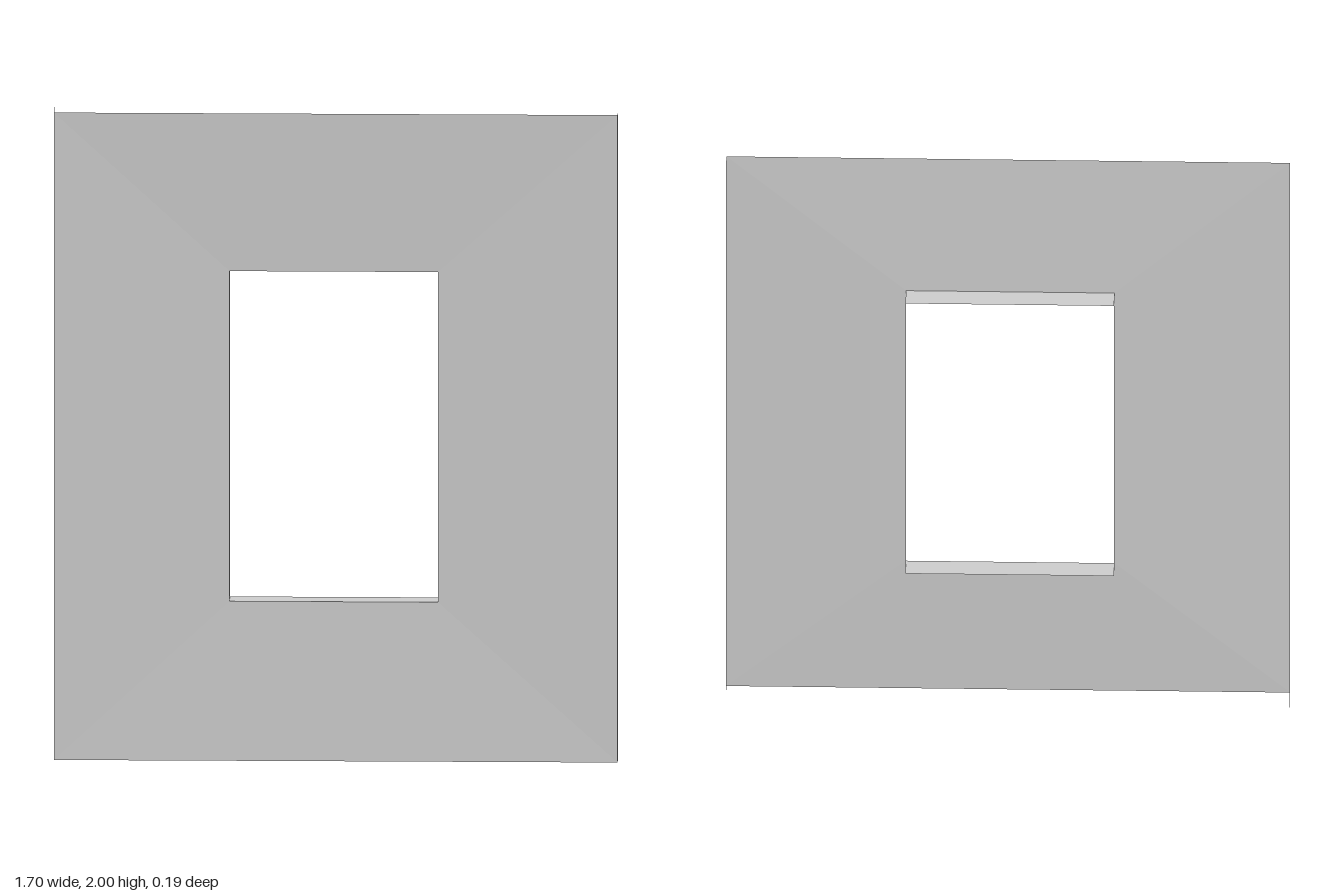
import * as THREE from 'three';

const material = new THREE.MeshStandardMaterial({
  color: 0xcccccc, side: THREE.DoubleSide, flatShading: true,
});

// Rectangular loop of corners, counter-clockwise seen from the front
const rect = (x0, x1, y0, y1, z) => [[x0, y0, z], [x1, y0, z], [x1, y1, z], [x0, y1, z]];

// Sheet of flat quads, each given by four corners
function sheet(name, quads) {
  const points = quads.flatMap(([a, b, c, d]) => [a, b, c, a, c, d]).flat();
  const geometry = new THREE.BufferGeometry();
  geometry.setAttribute('position', new THREE.Float32BufferAttribute(points, 3));
  geometry.computeVertexNormals();
  const mesh = new THREE.Mesh(geometry, material);
  mesh.name = name;
  return mesh;
}

// Four quads joining two rectangular loops
const band = (outer, inner) => outer.map((p, i) => {
  const j = (i + 1) % 4;
  return [p, outer[j], inner[j], inner[i]];
});

export function createModel() {
  const model = new THREE.Group();
  model.name = 'windowWallPanel';

  const wall = new THREE.Group();
  wall.name = 'wall';
  const half = 0.849, height = 2, flange = 0.095;
  const edge = rect(-half, half, 0, height, 0);
  const opening = rect(-0.32, 0.308, 0.49, 1.51, -0.012);
  const openingBack = opening.map(([x, y]) => [x, y, -0.076]);

  // Facing, dished slightly towards the window opening
  wall.add(sheet('wallFace', band(edge, opening)));
  // Lining that runs back from the opening
  wall.add(sheet('windowReveal', band(opening, openingBack)));
  // Returns folded back along both upright edges
  for (const [name, side] of [['leftReturn', 1], ['rightReturn', -1]]) {
    const x = side * half;
    const quad = [[x, 0, 0], [x, 0, -flange], [x, height, -flange], [x, height, 0]];
    wall.add(sheet(name, [side > 0 ? quad : quad.reverse()]));
  }

  // The wall stands slightly turned
  wall.rotation.y = -0.055;
  wall.position.set(-0.0025, 0, 0.0485);
  model.add(wall);
  return model;
}
